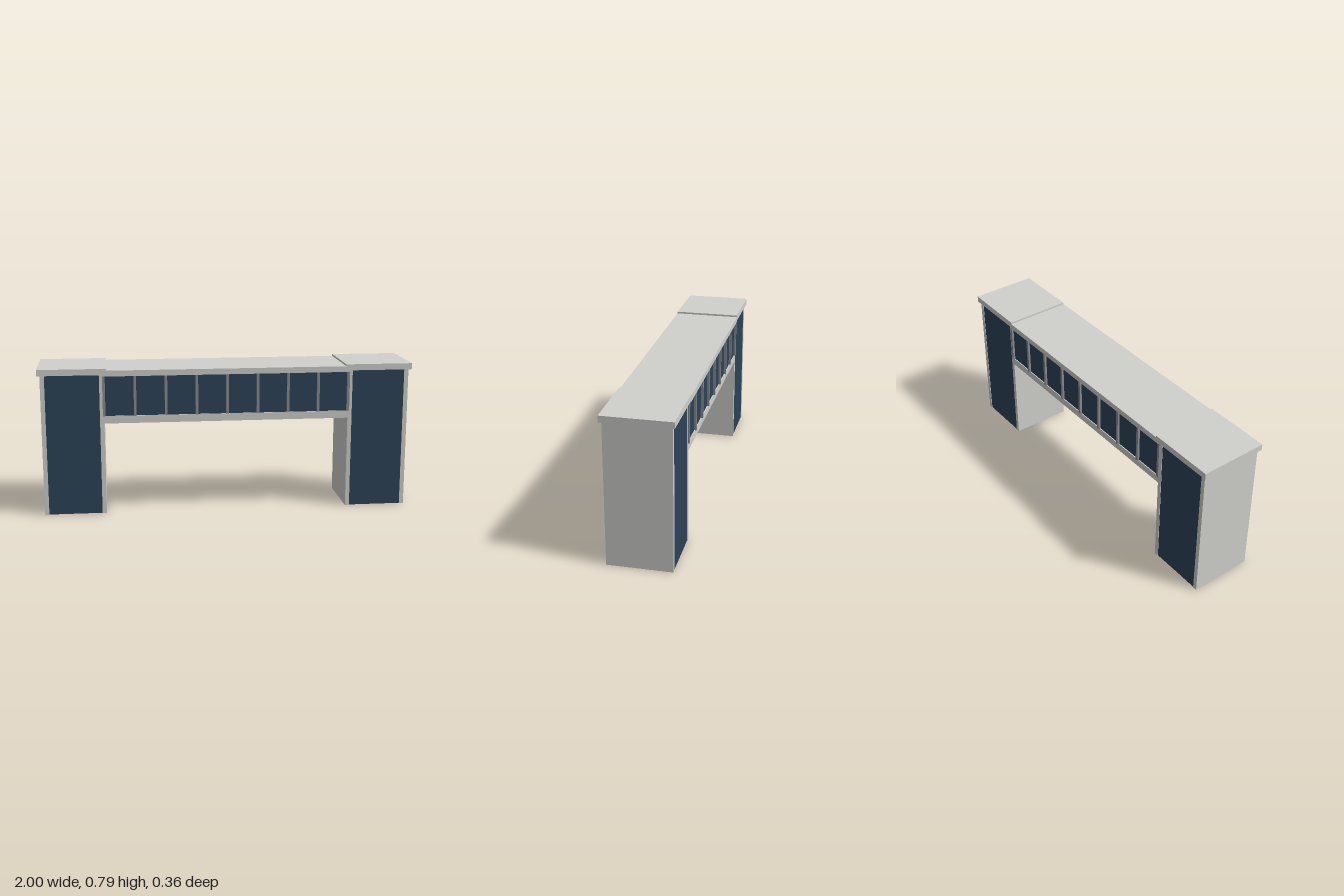
import * as THREE from 'three';

export function createModel() {
  const group = new THREE.Group();
  const mat = (name, color) => {
    const m = new THREE.MeshStandardMaterial({ color });
    m.name = name;
    return m;
  };
  const stone = mat('pale cladding', 0xd0d0cc);
  const glass = mat('dark blue glass', 0x2c4358);
  const metal = mat('grey metal', 0x8a8c92);
  const lamp = mat('warm light', 0xd8c890);

  // Box given by its limits in x and y and its half depth in z
  const slab = (name, material, x0, x1, y0, y1, halfZ, parent = group) => {
    const mesh = new THREE.Mesh(new THREE.BoxGeometry(x1 - x0, y1 - y0, halfZ * 2), material);
    mesh.name = name;
    mesh.position.set((x0 + x1) / 2, (y0 + y1) / 2, 0);
    parent.add(mesh);
    return mesh;
  };

  // End towers: glass core between two side walls, with an overhanging cap
  for (const side of [-1, 1]) {
    const tower = new THREE.Group();
    tower.name = side > 0 ? 'leftTower' : 'rightTower';
    const part = (name, material, a, b, y0, y1, halfZ) =>
      slab(name, material, Math.min(a * side, b * side), Math.max(a * side, b * side), y0, y1, halfZ, tower);
    part('towerGlass', glass, 0.678, 0.962, 0.001, 0.757, 0.166);
    part('innerWall', stone, 0.655, 0.678, 0, 0.757, 0.168);
    part('outerWall', stone, 0.962, 0.985, 0, 0.757, 0.168);
    part('towerCap', stone, 0.64, 1, 0.757, 0.79, 0.18);
    group.add(tower);
  }

  // Bridge between the towers
  slab('bridgeFloor', stone, -0.655, 0.655, 0.495, 0.535, 0.168);
  slab('bridgeGlass', glass, -0.655, 0.655, 0.535, 0.75, 0.163);
  slab('bridgeRoof', stone, -0.655, 0.655, 0.749, 0.78, 0.18);
  slab('underLight', lamp, -0.615, 0.615, 0.484, 0.495, 0.012);

  // Upright mullions on both faces of the bridge
  for (let i = 0; i <= 8; i++) {
    const x = -0.655 + (i * 1.31) / 8;
    for (const z of [-1, 1]) {
      const mullion = new THREE.Mesh(new THREE.BoxGeometry(0.014, 0.214, 0.015), metal);
      mullion.name = 'mullion';
      mullion.position.set(x, 0.642, z * 0.1675);
      group.add(mullion);
    }
  }
  return group;
}
